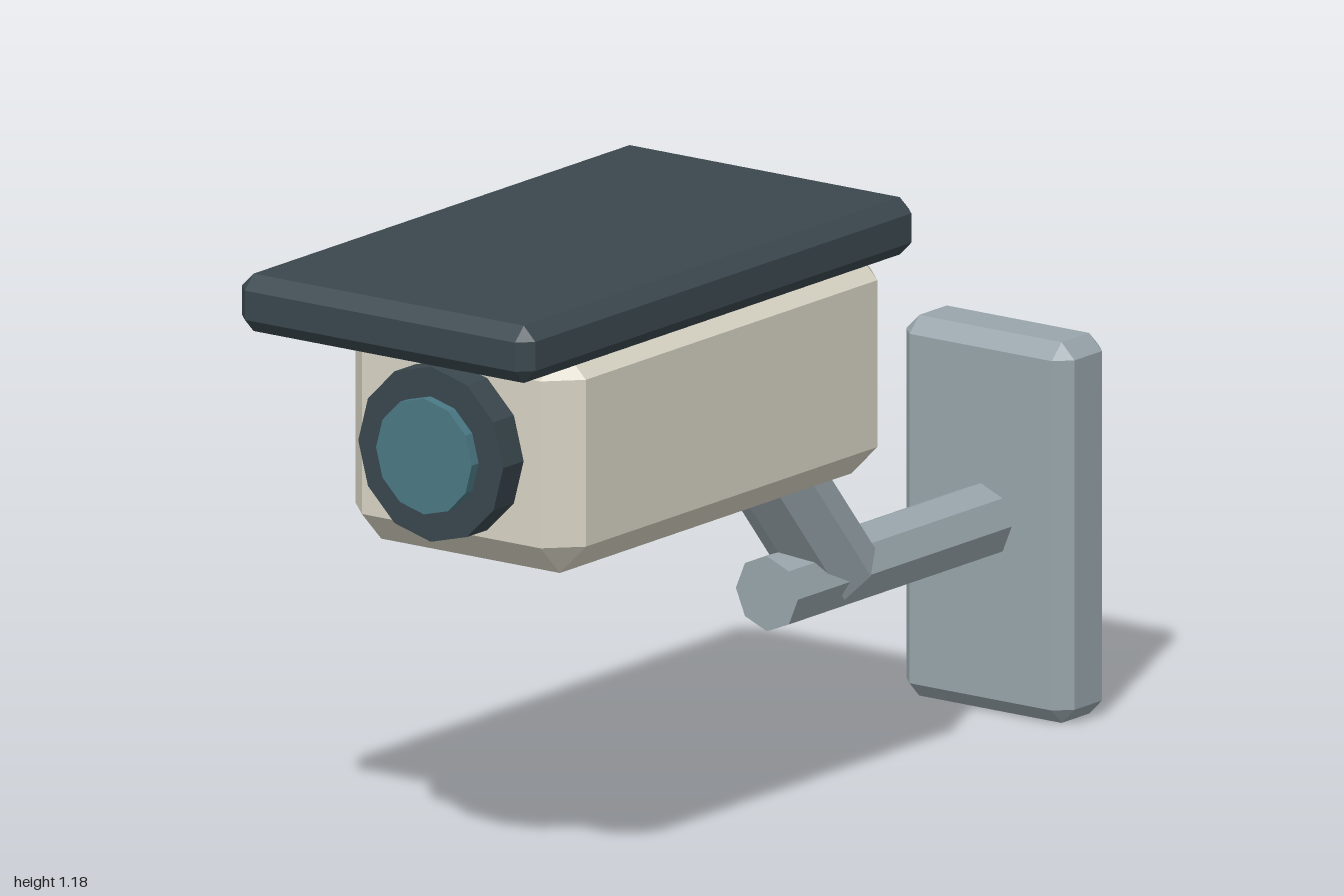
import * as THREE from 'three';
import { ConvexGeometry } from 'three/addons/geometries/ConvexGeometry.js';

const paint = (name, color) => {
  const m = new THREE.MeshStandardMaterial({ color, flatShading: true });
  m.name = name;
  return m;
};

// Box with every edge cut at 45 degrees, given by its min and max corners
function chamferBox(min, max, c) {
  const half = min.map((v, i) => (max[i] - v) / 2);
  const mid = min.map((v, i) => (max[i] + v) / 2);
  const points = [];
  for (const sx of [-1, 1]) for (const sy of [-1, 1]) for (const sz of [-1, 1]) {
    for (let axis = 0; axis < 3; axis++) {
      const p = [sx, sy, sz].map((s, i) => s * (half[i] - (i === axis ? 0 : c)));
      points.push(new THREE.Vector3(...p));
    }
  }
  return new ConvexGeometry(points).translate(...mid);
}

// Faceted rod in the x = 0 plane between two [y, z] points
function rod(radius, sides, from, to) {
  const dy = to[0] - from[0], dz = to[1] - from[1];
  return new THREE.CylinderGeometry(radius, radius, Math.hypot(dy, dz), sides)
    .rotateX(Math.atan2(dz, dy))
    .translate(0, (from[0] + to[0]) / 2, (from[1] + to[1]) / 2);
}

export function createModel() {
  const group = new THREE.Group();
  group.name = 'securityCamera';
  const cream = paint('creamCasing', 0xd8d4c4);
  const dark = paint('darkSlate', 0x3a474e);
  const metal = paint('greyMetal', 0x98a5ab);
  const glass = paint('tealGlass', 0x4a7884);

  const add = (name, geometry, material) => {
    const mesh = new THREE.Mesh(geometry, material);
    mesh.name = name;
    group.add(mesh);
  };

  // Camera housing and overhanging sunshade
  add('housing', chamferBox([-0.267, 0.635, -0.24], [0.267, 1.075, 0.78], 0.06), cream);
  add('sunshade', chamferBox([-0.34, 1.07, -0.215], [0.34, 1.18, 1], 0.027), dark);

  // Lens
  add('lensRing', rod(0.168, 12, [0.856, 0.72], [0.856, 0.843]), dark);
  add('lensGlass', rod(0.111, 12, [0.856, 0.8], [0.856, 0.864]), glass);

  // Wall bracket
  add('wallPlate', chamferBox([-0.195, 0, -1], [0.195, 0.73, -0.855], 0.03), metal);
  add('horizontalArm', rod(0.072, 8, [0.368, -0.9], [0.368, -0.195]), metal);
  add('slantedArm', rod(0.087, 8, [0.372, -0.4], [0.732, -0.1]), metal);

  return group;
}
